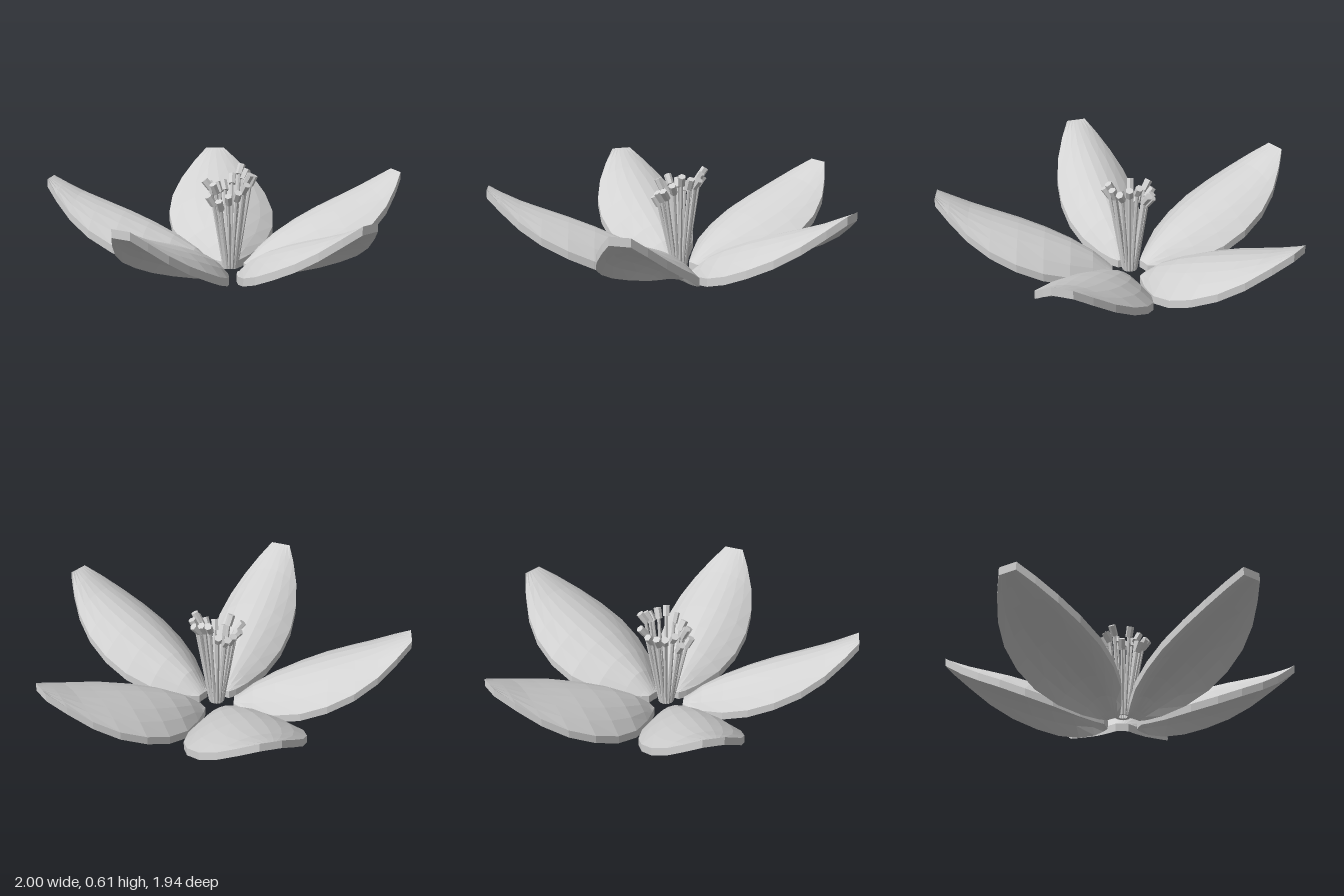
import * as THREE from 'three';

const THICK = 0.045;
const COLS = 8;
const TIP = 0.055;

// Petal stations: [distance from the heart, half width, height of the rim, rise of the middle]
const STATIONS = [
  [0.095, 0.036, 0.0, 0.002],
  [0.13, 0.066, 0.002, 0.032],
  [0.2, 0.11, 0.013, 0.082],
  [0.32, 0.172, 0.048, 0.115],
  [0.46, 0.21, 0.098, 0.128],
  [0.6, 0.22, 0.16, 0.12],
  [0.74, 0.202, 0.23, 0.1],
  [0.86, 0.162, 0.307, 0.068],
  [0.96, 0.107, 0.389, 0.033],
  [1.035, TIP, 0.455, 0.0],
];

// How broad each petal is, starting at the front and going round by its left
const BREADTHS = [1, 1.16, 1.42, 1.53, 1.26];

// Closed loft of an arched petal: each ring runs along the upper face and back along the lower one
function petalGeometry(breadth) {
  const pos = [];
  const index = [];
  const m = 2 * (COLS + 1);
  for (const [r, halfWidth, y, rise] of STATIONS) {
    const w = halfWidth > TIP ? TIP + (halfWidth - TIP) * breadth : halfWidth;
    for (let k = 0; k < m; k++) {
      const upper = k <= COLS;
      const t = ((upper ? k : m - 1 - k) / COLS) * 2 - 1;
      pos.push(t * w, y + rise * (1 - t * t) + (upper ? THICK : 0), r);
    }
  }
  const last = (STATIONS.length - 1) * m;
  for (let i = 0; i < last; i += m) {
    for (let k = 0; k < m; k++) {
      const a = i + k, b = i + ((k + 1) % m);
      index.push(a, a + m, b, b, a + m, b + m);
    }
  }
  // End caps at the base and the tip
  for (let j = 0; j < COLS; j++) {
    const t0 = j, t1 = j + 1, b0 = m - 1 - j, b1 = m - 2 - j;
    index.push(t0, t1, b1, t0, b1, b0);
    index.push(last + b0, last + b1, last + t1, last + b0, last + t1, last + t0);
  }
  const geo = new THREE.BufferGeometry();
  geo.setAttribute('position', new THREE.Float32BufferAttribute(pos, 3));
  geo.setIndex(index);
  const flat = geo.toNonIndexed();
  flat.computeVertexNormals();
  return flat;
}

export function createModel() {
  const grey = new THREE.MeshStandardMaterial({ color: 0xd2d2d2, flatShading: true });
  grey.name = 'pale grey';

  const flower = new THREE.Group();
  flower.name = 'flower';
  flower.position.set(0.012, 0, -0.07);

  // Five petals around the heart
  BREADTHS.forEach((breadth, i) => {
    const petal = new THREE.Mesh(petalGeometry(breadth), grey);
    petal.name = 'petal' + (i + 1);
    petal.rotation.y = THREE.MathUtils.degToRad(-3.4 + 72 * i);
    flower.add(petal);
  });

  // Ring of stamens leaning outward, each with a tilted anther
  let seed = 7;
  const random = () => (seed = (seed * 16807) % 2147483647) / 2147483647;
  const antherGeo = new THREE.CylinderGeometry(0.021, 0.02, 0.06, 6);
  const COUNT = 16;
  for (let i = 0; i < COUNT; i++) {
    const top = 0.4 + 0.165 * random();
    const base = 0.045, inner = 0.033;
    const outer = 0.09 + 0.025 * random();
    const stamen = new THREE.Group();
    stamen.name = 'stamen' + (i + 1);
    stamen.rotation.y = (i / COUNT) * Math.PI * 2;

    const length = Math.hypot(top - base, outer - inner);
    const filament = new THREE.Mesh(new THREE.CylinderGeometry(0.01, 0.01, length, 6), grey);
    filament.name = 'filament';
    filament.position.set(0, (top + base) / 2, (outer + inner) / 2);
    filament.rotation.x = Math.atan2(outer - inner, top - base);

    const anther = new THREE.Mesh(antherGeo, grey);
    anther.name = 'anther';
    const tilt = 0.4 + 0.3 * random();
    anther.position.set(0, top + 0.025 * Math.cos(tilt), outer + 0.025 * Math.sin(tilt));
    anther.rotation.x = tilt;

    stamen.add(filament, anther);
    flower.add(stamen);
  }

  const model = new THREE.Group();
  model.name = 'model';
  model.add(flower);
  return model;
}
